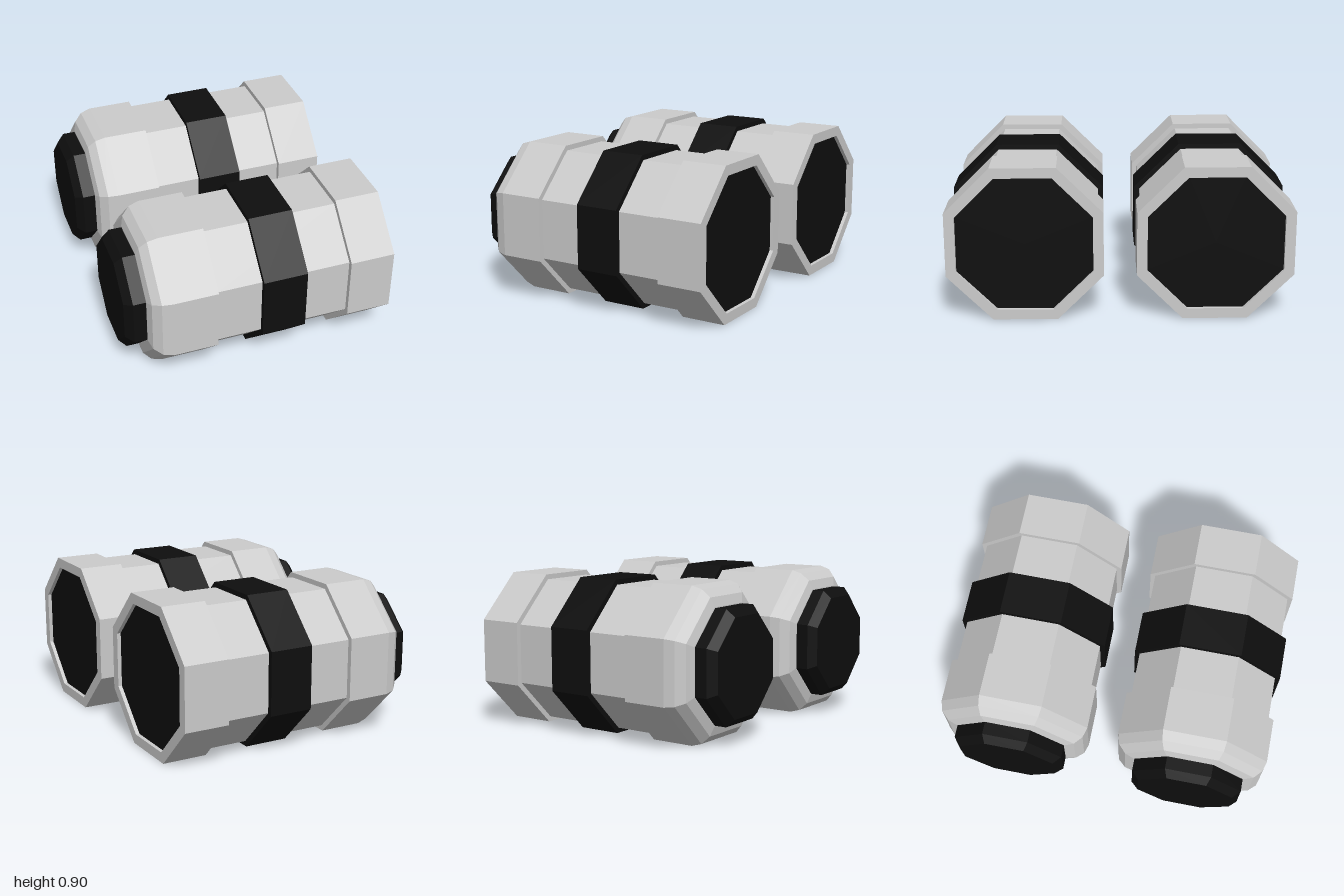
import * as THREE from 'three';

const SIDES = 8;
const RADIUS = 0.4525; // distance from axis to a flat side
const grey = new THREE.MeshStandardMaterial({ color: 0xcccccc, flatShading: true });
const black = new THREE.MeshStandardMaterial({ color: 0x0e0e0e, flatShading: true });

// Octagonal turned part along x; profile is [x, distance to flat side], left to right
function turned(name, profile, material) {
  const corner = 1 / Math.cos(Math.PI / SIDES);
  const points = profile.map(([x, r]) => new THREE.Vector2(r * corner, x));
  const geometry = new THREE.LatheGeometry(points, SIDES, Math.PI / SIDES);
  geometry.rotateZ(-Math.PI / 2);
  const mesh = new THREE.Mesh(geometry, material);
  mesh.name = name;
  return mesh;
}

function createCanister(name) {
  const canister = new THREE.Group();
  canister.name = name;
  canister.add(
    // chamfered plug on the left end
    turned('endCap', [[-0.79, 0], [-0.79, 0.285], [-0.745, 0.33], [-0.66, 0.33]], black),
    // rounded shoulder, stepped-in barrel and rim with a shallow recess
    turned('body', [
      [-0.67, 0], [-0.67, 0.335], [-0.655, 0.39], [-0.61, 0.435], [-0.55, RADIUS],
      [-0.285, RADIUS], [-0.285, 0.4225], [0.52, 0.4225], [0.52, RADIUS],
      [0.79, RADIUS], [0.79, 0.3925], [0.765, 0.3925],
    ], grey),
    // raised band round the middle
    turned('band', [[-0.015, 0.42], [-0.015, RADIUS], [0.25, RADIUS], [0.25, 0.42]], black),
    // dark face inside the rim
    turned('openEnd', [[0.767, 0.3925], [0.767, 0]], black),
  );
  return canister;
}

export function createModel() {
  const model = new THREE.Group();
  model.name = 'canisterPair';
  for (const [name, z] of [['frontCanister', 0.5475], ['backCanister', -0.5475]]) {
    const canister = createCanister(name);
    canister.position.set(0, RADIUS, z);
    model.add(canister);
  }
  return model;
}
